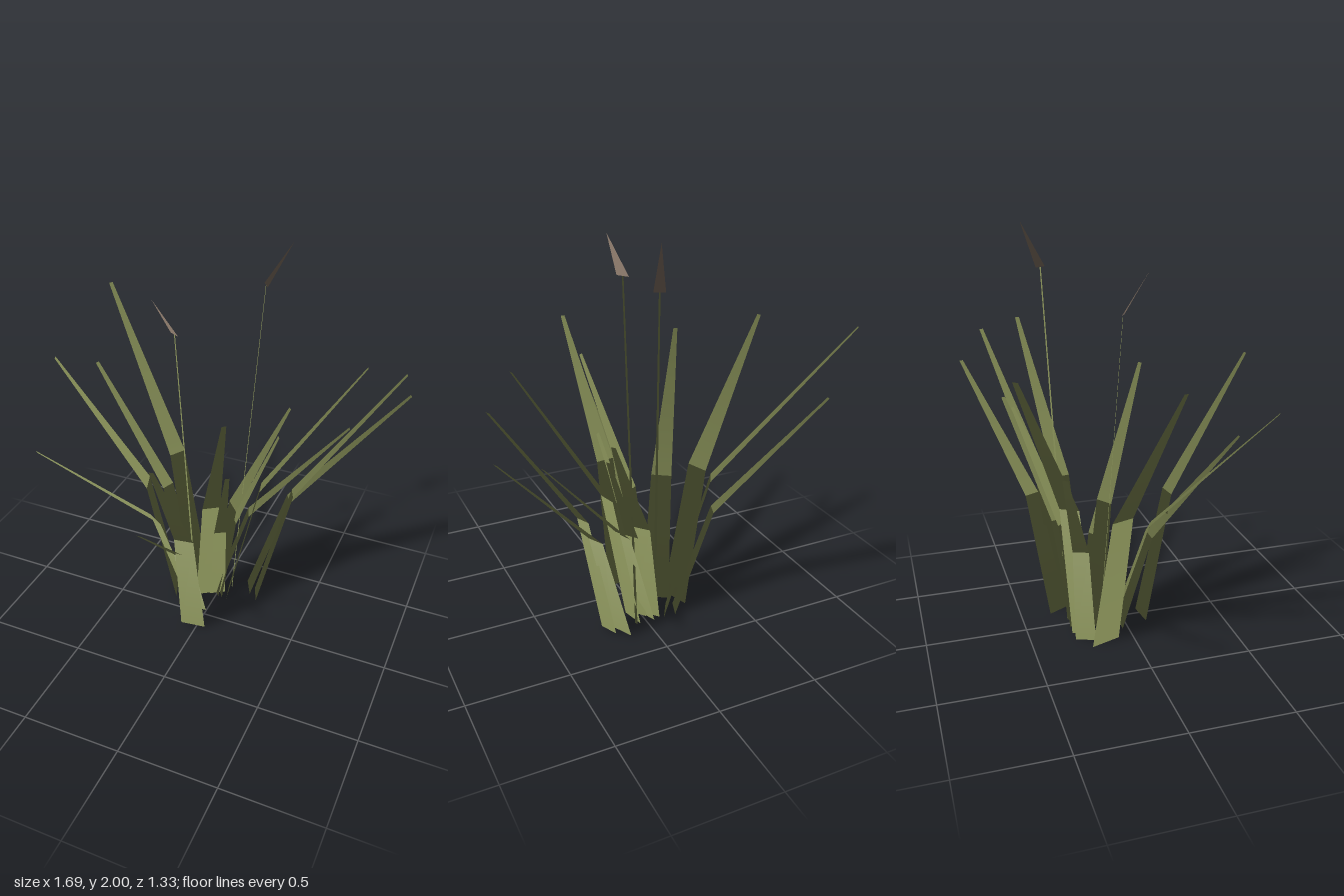
import * as THREE from 'three';

const leafGreen = new THREE.MeshStandardMaterial({ color: 0x7c8450, side: THREE.DoubleSide });
leafGreen.name = 'leafGreen';
const budBrown = new THREE.MeshStandardMaterial({ color: 0x7a6a5c, side: THREE.DoubleSide });
budBrown.name = 'budBrown';

// Flat ribbon through centre points; each width lies level, square to the lean.
// Foliage normals point up and outward along the growth, for soft even shading.
function ribbon(points, widths) {
  const end = points.length - 1;
  const lean = points[end].clone().sub(points[0]);
  const side = new THREE.Vector3(lean.z, 0, -lean.x).normalize();
  const pos = [], normals = [], index = [];
  points.forEach((p, i) => {
    const growth = points[Math.min(i + 1, end)].clone().sub(points[Math.max(i - 1, 0)]).normalize();
    for (const s of [-0.5, 0.5]) {
      pos.push(...p.clone().addScaledVector(side, s * widths[i]).toArray());
      normals.push(...growth.toArray());
    }
    if (i > 0) {
      const a = 2 * i - 2;
      index.push(a, a + 1, a + 3);
      if (widths[i] > 0) index.push(a, a + 3, a + 2);
    }
  });
  const g = new THREE.BufferGeometry();
  g.setAttribute('position', new THREE.Float32BufferAttribute(pos, 3));
  g.setAttribute('normal', new THREE.Float32BufferAttribute(normals, 3));
  g.setIndex(index);
  return g;
}

// Blade that arches outward: at half its height it has made a quarter of its lean
function blade(baseX, baseZ, tipX, tipY, tipZ, width) {
  const base = new THREE.Vector3(baseX, 0, baseZ);
  const tip = new THREE.Vector3(tipX, tipY, tipZ);
  const bend = base.clone().lerp(tip, 0.25).setY(tipY / 2);
  return ribbon([base, bend, tip], [width, width * 0.75, 0.022]);
}

export function createModel() {
  const group = new THREE.Group();
  const add = (name, geometry, material) => {
    const mesh = new THREE.Mesh(geometry, material);
    mesh.name = name;
    group.add(mesh);
  };

  // Blades: base x, z; tip x, y, z; base width
  const blades = [
    [-0.125, -0.23, -0.83, 1.54, -0.65, 0.125],
    [-0.175, -0.235, -0.845, 1.14, -0.475, 0.1],
    [-0.225, -0.145, -0.77, 1.42, 0.04, 0.155],
    [-0.135, -0.1, -0.57, 1.23, 0.555, 0.14],
    [-0.065, -0.03, -0.055, 0.95, 0.6, 0.125],
    [-0.022, 0.1, 0.052, 1.35, 0.66, 0.13],
    [-0.05, -0.165, 0.16, 1.31, 0.145, 0.125],
    [0, -0.19, 0.13, 0.94, 0.02, 0.085],
    [0.145, -0.3, 0.84, 1.21, -0.655, 0.11],
    [0.2, -0.26, 0.825, 1.38, -0.54, 0.095],
    [0.05, -0.22, 0.67, 1.465, -0.37, 0.12],
    [-0.03, -0.215, 0.27, 1.1, -0.48, 0.14],
    [-0.02, -0.23, 0.588, 1.06, -0.475, 0.11],
    [0.01, -0.2, 0.25, 0.98, -0.38, 0.09],
  ];
  blades.forEach((b, i) => add(`blade${i + 1}`, blade(...b), leafGreen));

  // Two slender stems, each with a flat pointed bud
  const stems = [
    [[-0.11, 0, -0.145], [-0.165, 1.62, -0.04], [-0.225, 1.825, 0.065]],
    [[0.055, 0, -0.27], [0.162, 1.8, -0.342], [0.265, 2, -0.412]],
  ];
  stems.forEach((points, i) => {
    const [foot, neck, point] = points.map((p) => new THREE.Vector3(...p));
    add(`stem${i + 1}`, ribbon([foot, neck], [0.014, 0.008]), leafGreen);
    add(`bud${i + 1}`, ribbon([neck, point], [0.06, 0]), budBrown);
  });
  return group;
}
